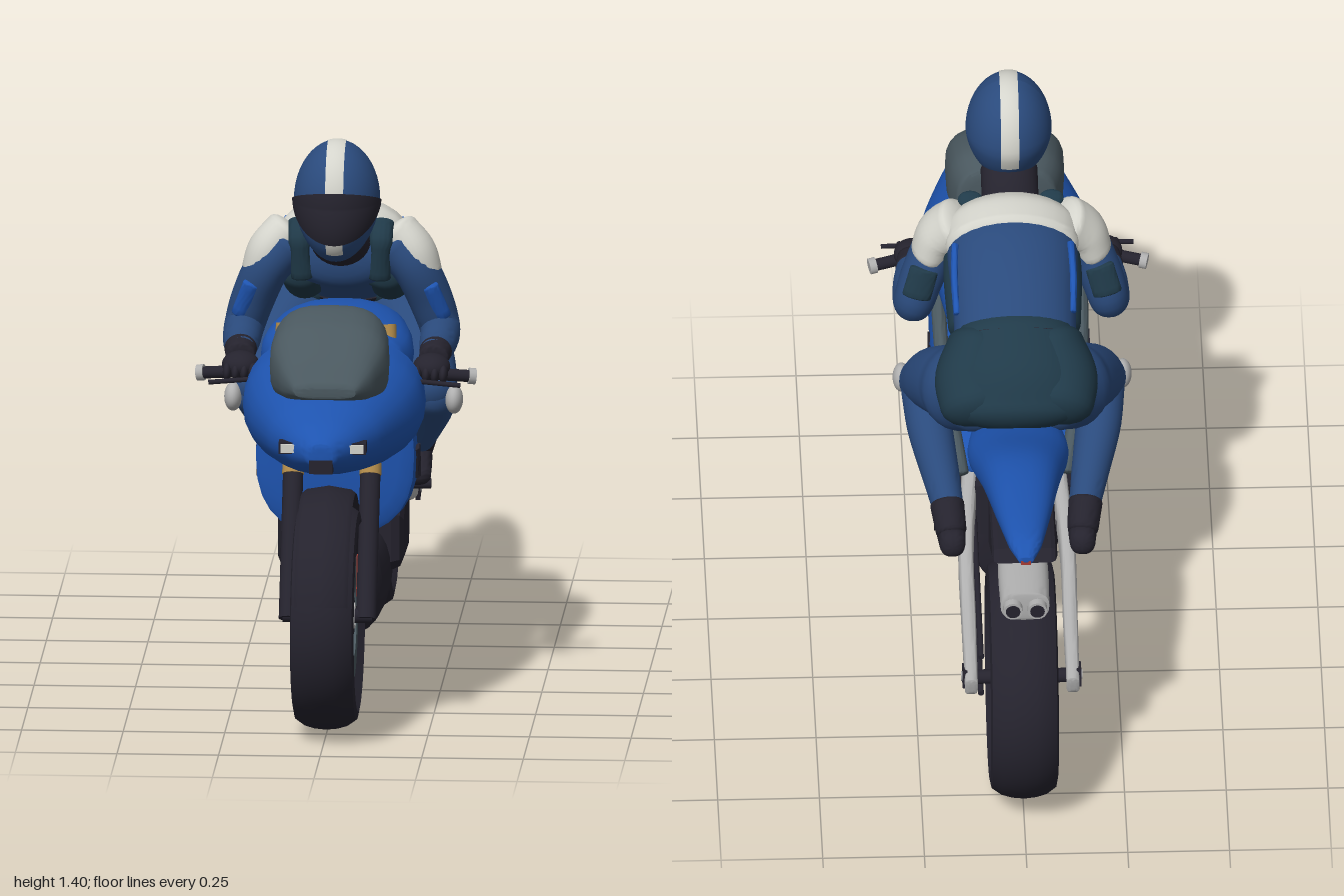
import * as THREE from 'three';
import { toCreasedNormals } from 'three/addons/utils/BufferGeometryUtils.js';

const paint = (name, color) => Object.assign(new THREE.MeshStandardMaterial({ color }), { name });
const blue = paint('bright blue', 0x1e54b0), navy = paint('suit blue', 0x2a4a7c), teal = paint('dark teal', 0x203a49);
const black = paint('black', 0x25232e), grey = paint('smoke grey', 0x4a585f), silver = paint('silver', 0xb0b0b0);
const white = paint('white', 0xd4d4cc), gold = paint('gold', 0xb08a4a), red = paint('red', 0xa83c34);
const V = (p) => new THREE.Vector3(p[0], p[1], p[2]);

export function createModel() {
  const model = new THREE.Group();
  const add = (name, mat, geo, pos = [0, 0, 0], rot = [0, 0, 0], parent = model) => {
    const mesh = new THREE.Mesh(geo, mat);
    mesh.name = name;
    mesh.position.set(...pos);
    mesh.rotation.set(...rot);
    parent.add(mesh);
    return mesh;
  };
  const box = (name, mat, size, pos, rot, parent) => add(name, mat, new THREE.BoxGeometry(...size), pos, rot, parent);
  const ball = (name, mat, r, pos) => add(name, mat, new THREE.SphereGeometry(1, 28, 18).scale(...r), pos);
  const both = (fn) => [1, -1].forEach(fn);

  // Straight rod between two points
  const rod = (name, mat, a, b, r0, r1 = r0) => {
    const d = V(b).sub(V(a));
    const m = add(name, mat, new THREE.CylinderGeometry(r1, r0, d.length(), 16));
    m.position.copy(V(a).addScaledVector(d, 0.5));
    m.quaternion.setFromUnitVectors(new THREE.Vector3(0, 1, 0), d.normalize());
    return m;
  };

  // Smooth skin through stations [x, y, z, half width, half height]; n squares the section off
  const loft = (name, mat, st, { n = 2, cap = 0.4, flat = false, steps = 6 } = {}) => {
    const path = new THREE.CatmullRomCurve3(st.map(V));
    const size = new THREE.CatmullRomCurve3(st.map((s) => new THREE.Vector3(s[3], s[4], 0)));
    const N = 28, rings = [], total = (st.length - 1) * steps;
    const ring = (t, k, off) => {
      const T = flat ? new THREE.Vector3(0, 0, -1) : path.getTangent(t);
      const side = new THREE.Vector3(1, 0, 0).addScaledVector(T, -T.x).normalize();
      rings.push({ p: path.getPoint(t).addScaledVector(T, off), side, up: side.clone().cross(T), s: size.getPoint(t).multiplyScalar(k) });
    };
    const capAt = (t, dir, i) => {
      const s = size.getPoint(t), a = (i / 5) * Math.PI / 2;
      ring(t, Math.cos(a), dir * Math.sin(a) * cap * Math.min(s.x, s.y));
    };
    for (let i = 5; i > 0; i--) capAt(0, -1, i);
    for (let i = 0; i <= total; i++) ring(i / total, 1, 0);
    for (let i = 1; i <= 5; i++) capAt(1, 1, i);
    const pos = [], idx = [], pw = (c) => Math.sign(c) * Math.abs(c) ** (2 / n);
    rings.forEach(({ p, side, up, s }, i) => {
      for (let j = 0; j < N; j++) {
        const a = (j / N) * Math.PI * 2;
        const q = p.clone().addScaledVector(side, s.x * pw(Math.cos(a))).addScaledVector(up, s.y * pw(Math.sin(a)));
        pos.push(q.x, q.y, q.z);
        const k = i * N + j, l = i * N + (j + 1) % N;
        if (i < rings.length - 1) idx.push(k, k + N, l, l, k + N, l + N);
      }
    });
    const g = new THREE.BufferGeometry();
    g.setAttribute('position', new THREE.Float32BufferAttribute(pos, 3));
    g.setIndex(idx);
    return add(name, mat, toCreasedNormals(g, 0.8));
  };

  // Closed (radius, x) profile spun about the x axis; angle 0 faces forward
  const spin = (name, mat, prof, pos, parent, start = 0, len = Math.PI * 2) => {
    const pts = [...prof, prof[0]].map((p) => new THREE.Vector2(p[0], p[1]));
    const g = new THREE.LatheGeometry(pts, 56, start, len).rotateZ(Math.PI / 2);
    return add(name, mat, toCreasedNormals(g, 0.6), pos, undefined, parent);
  };
  const band = (r0, r1, h) => [[r0, -h], [r1, -h], [r1, h], [r0, h]];

  // Side outline given as (z, y), extruded across x
  const slab = (name, mat, pts, half, bevel = 0.015) => {
    const shape = new THREE.Shape(pts.map((p) => new THREE.Vector2(p[0], p[1])));
    const d = 2 * (half - bevel);
    const g = new THREE.ExtrudeGeometry(shape, { depth: d, bevelSize: bevel, bevelThickness: bevel, bevelOffset: -bevel, bevelSegments: 2 });
    return add(name, mat, g.translate(0, 0, -d / 2).rotateY(-Math.PI / 2));
  };

  // Wheels
  const wheel = (name, y, z, R, W, d0, d1) => {
    const w = new THREE.Group();
    w.name = name;
    w.position.set(0, y, z);
    model.add(w);
    const half = [[0.76, 0.72], [0.84, 0.97], [0.91, 0.92], [0.965, 0.65], [0.99, 0.35]].map(([r, x]) => [r * R, x * W]);
    spin('tyre', black, [...half.map(([r, x]) => [r, -x]), [R, 0], ...half.reverse()], undefined, w);
    spin('rim', black, band(0.7 * R, 0.77 * R, 0.62 * W), undefined, w);
    both((s) => {
      spin('rimEdge', silver, band(0.742 * R, 0.75 * R, 0.004), [s * 0.63 * W, 0, 0], w);
      spin('brakeDisc', grey, band(d0, d1, 0.004), [s * 0.062, 0, 0], w);
      spin('hubRing', silver, band(0.026, 0.032, 0.004), [s * 0.064, 0, 0], w);
    });
    for (let i = 0; i < 6; i++) both((s) => {
      const a = i * Math.PI / 3 + s * 0.13, r = 0.42 * R;
      box('spoke', black, [0.035, 0.6 * R, 0.016], [0, r * Math.cos(a), r * Math.sin(a)], [a - s * 0.06, 0, 0], w);
    });
    add('hub', black, new THREE.CylinderGeometry(0.045, 0.045, 0.13, 24), undefined, [0, 0, Math.PI / 2], w);
    add('axle', black, new THREE.CylinderGeometry(0.018, 0.018, 0.22, 16), undefined, [0, 0, Math.PI / 2], w);
  };
  wheel('frontWheel', 0.288, 0.7, 0.281, 0.081, 0.1, 0.158);
  wheel('rearWheel', 0.302, -0.67, 0.302, 0.086, 0.055, 0.105);
  spin('frontFender', black, [[0.29, -0.066], [0.3, -0.055], [0.309, 0], [0.3, 0.055], [0.29, 0.066], [0.294, 0.05], [0.302, 0], [0.294, -0.05]], [0, 0.297, 0.695], model, 0.25, 2.1);

  // Front fairing, screen and lamps
  loft('noseFairing', blue, [[0, 0.75, 0.97, 0.035, 0.03], [0, 0.755, 0.9, 0.09, 0.062], [0, 0.757, 0.8, 0.14, 0.092], [0, 0.76, 0.6, 0.2, 0.133], [0, 0.765, 0.48, 0.222, 0.155], [0, 0.765, 0.4, 0.224, 0.168]], { n: 2.2, flat: true, cap: 0.1 });
  loft('windscreen', grey, [[0, 0.87, 0.8, 0.075, 0.015], [0, 0.885, 0.74, 0.115, 0.06], [0, 0.9, 0.64, 0.146, 0.108], [0, 0.905, 0.54, 0.142, 0.125], [0, 0.9, 0.465, 0.122, 0.115]], { n: 3, flat: true, cap: 0.1 });
  both((s) => {
    box('lampHousing', black, [0.055, 0.028, 0.04], [s * 0.08, 0.757, 0.9]);
    box('headlight', white, [0.045, 0.021, 0.008], [s * 0.08, 0.757, 0.923]);
  });
  box('airIntake', black, [0.058, 0.034, 0.04], [0, 0.722, 0.955]);

  // Body, belly, tank and tail
  loft('sideFairing', blue, [[0, 0.625, 0.4, 0.195, 0.205], [0, 0.588, 0.25, 0.195, 0.186], [0, 0.565, 0.1, 0.185, 0.115], [0, 0.545, 0, 0.17, 0.055], [0, 0.517, -0.1, 0.15, 0.012]], { n: 2.5, flat: true, cap: 0.1 });
  loft('bellyPan', black, [[0, 0.315, 0.41, 0.09, 0.11], [0, 0.29, 0.36, 0.115, 0.133], [0, 0.285, 0.2, 0.125, 0.137], [0, 0.285, 0, 0.12, 0.133], [0, 0.29, -0.12, 0.095, 0.105]], { n: 2.4, flat: true, cap: 0.1 });
  slab('engineCover', black, [[0.195, 0.31], [0.17, 0.285], [-0.06, 0.275], [-0.095, 0.33], [-0.1, 0.46], [-0.06, 0.505], [0.05, 0.5], [0.195, 0.43]], 0.155, 0.03);
  slab('gearbox', black, [[0, 0.25], [-0.16, 0.36], [-0.15, 0.5], [0, 0.5]], 0.1);
  loft('fuelTank', blue, [[0, 0.85, 0.4, 0.17, 0.09], [0, 0.858, 0.3, 0.188, 0.097], [0, 0.855, 0.12, 0.165, 0.098], [0, 0.82, -0.05, 0.11, 0.09], [0, 0.775, -0.18, 0.08, 0.05]], { n: 2.5, flat: true, cap: 0.2 });
  loft('seat', black, [[0, 0.75, -0.05, 0.08, 0.04], [0, 0.755, -0.25, 0.11, 0.04], [0, 0.79, -0.4, 0.11, 0.05]], { n: 3, flat: true });
  loft('tail', blue, [[0, 0.76, -0.285, 0.112, 0.05], [0, 0.78, -0.4, 0.124, 0.07], [0, 0.853, -0.6, 0.097, 0.074], [0, 0.889, -0.8, 0.067, 0.047], [0, 0.898, -0.94, 0.04, 0.026], [0, 0.891, -0.993, 0.018, 0.011]], { n: 2.3, flat: true, cap: 0.2 });
  box('tailLight', red, [0.024, 0.012, 0.01], [0, 0.885, -0.99]);
  slab('underTail', black, [[-0.59, 0.83], [-0.59, 0.66], [-0.64, 0.67], [-0.92, 0.83], [-0.9, 0.86]], 0.08);
  // Exhaust can
  loft('silencer', silver, [[0, 0.695, -0.61, 0.04, 0.028], [0, 0.695, -0.69, 0.06, 0.042], [0, 0.695, -0.8, 0.062, 0.043], [0, 0.695, -0.915, 0.06, 0.042]], { n: 2.6, cap: 0.1 });

  both((s) => {
    for (let i = 0; i < 3; i++) box('sideVent', black, [0.009, 0.085, 0.022], [s * 0.1945, 0.588 - i * 0.008, 0.3 - i * 0.045], [0.4, 0, 0]);
    // Chassis tubes, exhaust and swingarm
    loft('frameRail', grey, [[s * 0.17, 0.82, 0.4, 0.018, 0.02], [s * 0.175, 0.77, 0.22, 0.018, 0.022], [s * 0.165, 0.68, 0.05, 0.018, 0.024], [s * 0.13, 0.52, -0.12, 0.018, 0.022]]);
    loft('exhaustPipe', grey, [[s * 0.04, 0.4, -0.18, 0.024, 0.024], [s * 0.04, 0.47, -0.31, 0.024, 0.024], [s * 0.038, 0.63, -0.39, 0.024, 0.024], [s * 0.034, 0.7, -0.5, 0.024, 0.024], [s * 0.03, 0.72, -0.6, 0.024, 0.024]]);
    rod('silencerTip', silver, [s * 0.03, 0.695, -0.9], [s * 0.03, 0.695, -0.938], 0.024);
    rod('silencerBore', black, [s * 0.03, 0.695, -0.9], [s * 0.03, 0.695, -0.94], 0.018);
    loft('swingarm', silver, [[s * 0.11, 0.46, -0.08, 0.02, 0.05], [s * 0.125, 0.4, -0.3, 0.019, 0.045], [s * 0.125, 0.345, -0.5, 0.018, 0.034], [s * 0.125, 0.3, -0.71, 0.016, 0.026]], { n: 4, cap: 0.2 });
    box('axlePlate', black, [0.012, 0.045, 0.055], [s * 0.14, 0.305, -0.67], [0.25, 0, 0]);
    rod('axleNut', silver, [s * 0.14, 0.305, -0.67], [s * 0.149, 0.305, -0.67], 0.012);
    // Fork and brakes
    rod('forkLeg', black, [s * 0.095, 0.28, 0.705], [s * 0.095, 0.61, 0.53], 0.025);
    rod('forkTube', gold, [s * 0.095, 0.6, 0.535], [s * 0.095, 0.86, 0.4], 0.021);
    rod('forkCollar', gold, [s * 0.095, 0.605, 0.533], [s * 0.095, 0.632, 0.519], 0.027);
    rod('forkCap', gold, [s * 0.135, 0.83, 0.38], [s * 0.13, 0.945, 0.355], 0.018);
    box('brakeCaliper', red, [0.035, 0.095, 0.05], [s * 0.082, 0.365, 0.59]);
    rod('footPeg', black, [s * 0.1, 0.42, -0.2], [s * 0.2, 0.42, -0.2], 0.013);
    // Handlebars
    rod('handlebar', black, [s * 0.09, 0.84, 0.4], [s * 0.33, 0.815, 0.345], 0.015);
    rod('barEnd', silver, [s * 0.325, 0.816, 0.346], [s * 0.342, 0.814, 0.342], 0.02);
    rod('lever', black, [s * 0.17, 0.82, 0.42], [s * 0.31, 0.81, 0.43], 0.006);

    // Rider arms: sleeve, white shoulder shell, stripe and glove
    loft('sleeve', navy, [[s * 0.135, 1.09, 0.12, 0.06, 0.065], [s * 0.18, 1.04, 0.13, 0.056, 0.062], [s * 0.22, 0.95, 0.11, 0.054, 0.058], [s * 0.24, 0.885, 0.105, 0.05, 0.055], [s * 0.242, 0.865, 0.2, 0.046, 0.045], [s * 0.238, 0.86, 0.29, 0.036, 0.034]]);
    loft('shoulderShell', white, [[s * 0.135, 1.115, 0.105, 0.06, 0.068], [s * 0.178, 1.075, 0.12, 0.055, 0.066], [s * 0.203, 1.02, 0.12, 0.046, 0.06]]);
    loft('sleeveStripe', blue, [[s * 0.217, 1, 0.17, 0.024, 0.016], [s * 0.247, 0.92, 0.143, 0.024, 0.018]]);
    loft('elbowPanel', teal, [[s * 0.215, 1.0, 0.072, 0.036, 0.016], [s * 0.235, 0.93, 0.058, 0.036, 0.016]]);
    loft('gloveCuff', black, [[s * 0.24, 0.86, 0.27, 0.04, 0.038], [s * 0.238, 0.855, 0.32, 0.036, 0.032]], { cap: 0.2 });
    ball('glove', black, [0.046, 0.033, 0.05], [s * 0.235, 0.84, 0.355]);
    for (let i = 0; i < 4; i++) ball('finger', black, [0.011, 0.022, 0.024], [s * (0.203 + i * 0.021), 0.828, 0.388]);

    // Rider legs
    loft('thigh', navy, [[s * 0.1, 0.87, -0.27, 0.088, 0.095], [s * 0.15, 0.82, -0.16, 0.088, 0.095], [s * 0.195, 0.755, -0.05, 0.075, 0.08], [s * 0.22, 0.7, 0.02, 0.06, 0.062]], { cap: 0.8 });
    loft('shin', navy, [[s * 0.22, 0.7, 0.02, 0.057, 0.06], [s * 0.208, 0.645, -0.09, 0.056, 0.06], [s * 0.183, 0.57, -0.2, 0.046, 0.053], [s * 0.163, 0.51, -0.29, 0.036, 0.042]], { cap: 0.8 });
    ball('kneeSlider', silver, [0.022, 0.036, 0.036], [s * 0.272, 0.69, 0.05]);
    loft('bootShaft', black, [[s * 0.17, 0.53, -0.265, 0.042, 0.048], [s * 0.162, 0.49, -0.32, 0.038, 0.046]]);
    loft('boot', black, [[s * 0.16, 0.48, -0.355, 0.032, 0.036], [s * 0.162, 0.468, -0.28, 0.036, 0.04], [s * 0.165, 0.445, -0.18, 0.036, 0.025]], { cap: 0.9, n: 2.4 });
    // Suit panels
    loft('seatPanel', teal, [[s * 0.09, 0.875, -0.315, 0.1, 0.087], [s * 0.1, 0.91, -0.26, 0.1, 0.1], [s * 0.09, 0.965, -0.2, 0.08, 0.1]], { cap: 0.6 });
    loft('flank', teal, [[s * 0.105, 1.035, 0.1, 0.062, 0.06], [s * 0.108, 1.02, 0, 0.062, 0.07], [s * 0.105, 0.965, -0.12, 0.058, 0.065]]);
    loft('chestStrap', teal, [[s * 0.1, 1.155, 0.15, 0.03, 0.022], [s * 0.1, 1.11, 0.182, 0.028, 0.02], [s * 0.095, 1.02, 0.165, 0.028, 0.02]]);
    loft('backStripe', blue, [[s * 0.142, 1.125, 0, 0.009, 0.012], [s * 0.146, 1.085, -0.085, 0.009, 0.012], [s * 0.142, 1.035, -0.16, 0.009, 0.012]]);
  });
  // Drive chain
  rod('chainTop', black, [0.1, 0.41, -0.14], [0.1, 0.36, -0.67], 0.007);
  rod('chainBottom', black, [0.1, 0.3, -0.12], [0.1, 0.25, -0.67], 0.007);

  // Rider torso
  loft('hips', teal, [[0, 0.865, -0.33, 0.16, 0.085], [0, 0.925, -0.27, 0.168, 0.105], [0, 0.98, -0.19, 0.152, 0.105]], { cap: 0.6 });
  loft('torso', navy, [[0, 0.96, -0.21, 0.148, 0.1], [0, 1.03, -0.1, 0.152, 0.105], [0, 1.075, 0.02, 0.16, 0.107], [0, 1.085, 0.11, 0.15, 0.095]], { cap: 0.7 });
  loft('shoulderYoke', white, [[0, 1.095, 0.035, 0.163, 0.1], [0, 1.1, 0.09, 0.166, 0.1], [0, 1.1, 0.13, 0.15, 0.088]], { cap: 0.3 });
  loft('chestPanel', navy, [[0, 1.065, 0.13, 0.14, 0.08], [0, 1.065, 0.16, 0.12, 0.07]], { cap: 0.4 });
  loft('belt', black, [[0, 0.965, -0.205, 0.156, 0.108], [0, 0.977, -0.19, 0.156, 0.108]], { cap: 0.1 });
  loft('collar', black, [[0, 1.1, 0.13, 0.078, 0.065], [0, 1.125, 0.22, 0.07, 0.058], [0, 1.15, 0.28, 0.07, 0.06]]);

  // Helmet: sphere pieces with poles at the sides and the chin drawn forward
  const shell = (name, mat, k, p0, p1, t0, t1) => {
    const g = new THREE.SphereGeometry(k, 40, 24, p0, p1 - p0, t0, t1 - t0).rotateZ(-Math.PI / 2);
    const p = g.attributes.position;
    for (let i = 0; i < p.count; i++) {
      const y = p.getY(i), low = Math.max(0, -y);
      p.setXYZ(i, p.getX(i) * 0.106 * (1 - 0.1 * low), y * 0.148, (p.getZ(i) + 0.28 * low) * 0.127);
    }
    g.computeVertexNormals();
    return add(name, mat, g, [0, 1.25, 0.315]);
  };
  const H = Math.PI / 2;
  shell('helmet', navy, 1, 0, 4 * H, 0, 2 * H);
  shell('helmetStripe', white, 1.012, -1.9, 2.3, H - 0.21, H + 0.21);
  shell('chinStripe', white, 1.012, 2.15, 2.5, H - 0.21, H + 0.21);
  shell('visor', black, 1.04, 1.3, 2.2, 0.1, 2 * H - 0.1);
  return model;
}
